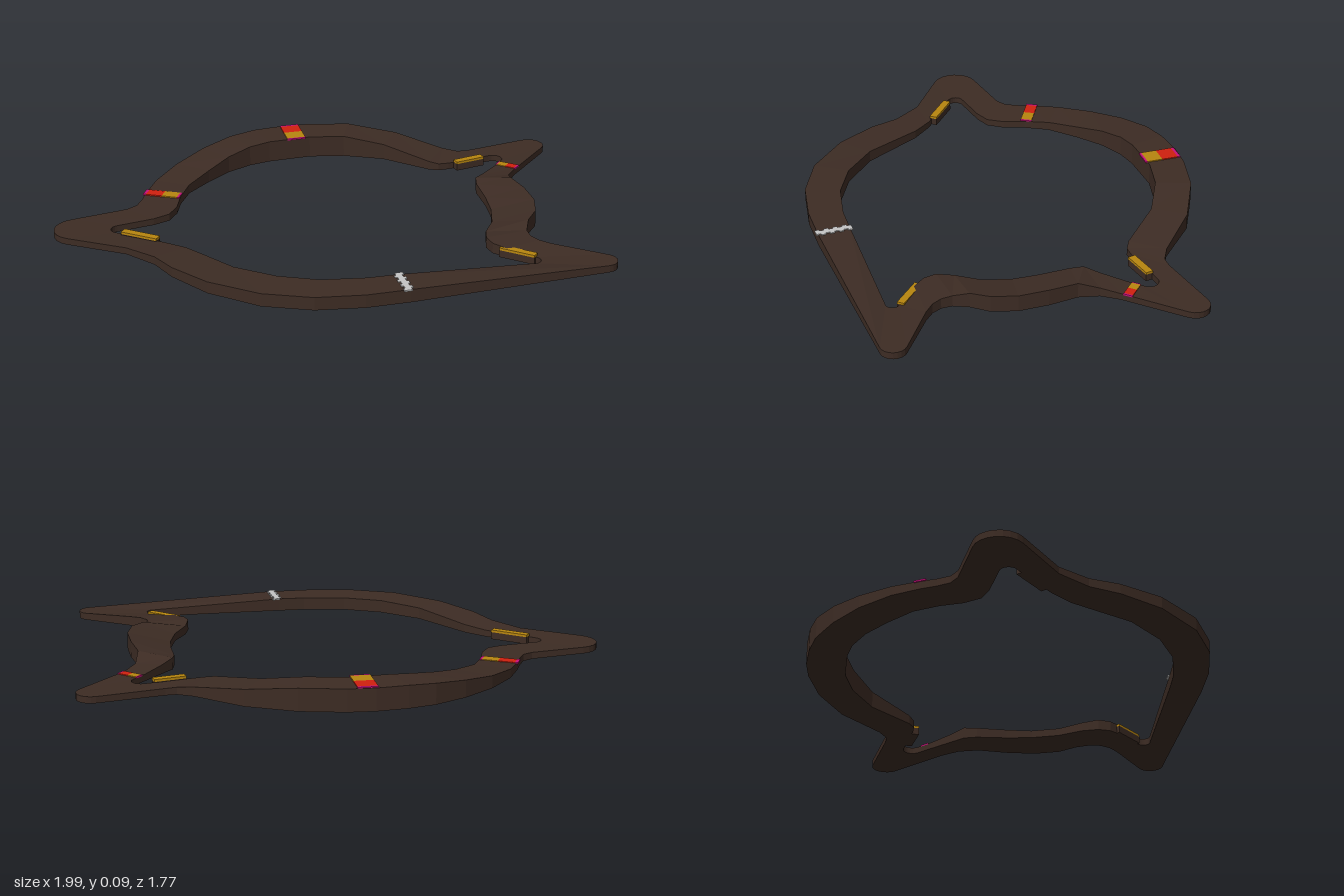
import * as THREE from 'three';

const paint = (name, color) => {
  const m = new THREE.MeshStandardMaterial({ color });
  m.name = name;
  return m;
};

// Rounded corner of the track: an outer arc paired with an inner notch arc.
function hairpin(cx, cz, r, nx, nz, nr, from, to, y) {
  const rows = [];
  for (let i = 0; i <= 8; i++) {
    const a = THREE.MathUtils.degToRad(from + (to - from) * i / 8);
    const c = Math.cos(a), s = Math.sin(a);
    rows.push([cx + r * c, cz + r * s, nx + nr * c, nz + nr * s, y]);
  }
  return rows;
}

// Stations: outer x, outer z, inner x, inner z, outer height, inner height if banked.
const chicane = [
  [0.32, -0.57, 0.235, -0.56, 0.026],
  [0.33, -0.49, 0.235, -0.45, 0.035],
  [0.37, -0.42, 0.235, -0.385, 0.06, 0.045],
  [0.46, -0.345, 0.26, -0.34, 0.065, 0.04],
  [0.54, -0.26, 0.34, -0.25, 0.065, 0.035],
  [0.585, -0.17, 0.40, -0.17, 0.065, 0.03],
  [0.59, -0.09, 0.45, -0.07, 0.06, 0.03],
  [0.61, -0.03, 0.47, 0.03, 0.045, 0.035],
  [0.64, 0.0, 0.50, 0.09, 0.042],
  [0.68, 0.015, 0.54, 0.12, 0.04],
  [0.73, 0.015, 0.60, 0.13, 0.037],
];
const frontSweep = [
  [0.45, 0.61, 0.35, 0.53, 0.05],
  [0.33, 0.72, 0.27, 0.60, 0.05],
  [0.18, 0.82, 0.13, 0.69, 0.05],
  [0.0, 0.88, -0.02, 0.735, 0.05],
  [-0.22, 0.88, -0.20, 0.735, 0.045],
  [-0.40, 0.83, -0.34, 0.69, 0.038],
  [-0.51, 0.775, -0.45, 0.655, 0.032],
  [-0.65, 0.75, -0.55, 0.645, 0.026],
];
const leftSweep = [
  [-0.84, 0.465, -0.70, 0.49, 0.026],
  [-0.825, 0.42, -0.67, 0.43, 0.027],
  [-0.835, 0.37, -0.68, 0.36, 0.028],
  [-0.855, 0.31, -0.715, 0.28, 0.03],
  [-0.88, 0.20, -0.74, 0.18, 0.035],
  [-0.88, 0.05, -0.73, 0.05, 0.048],
  [-0.85, -0.10, -0.71, -0.07, 0.066],
  [-0.80, -0.23, -0.67, -0.17, 0.08],
  [-0.74, -0.32, -0.62, -0.24, 0.086],
  [-0.66, -0.41, -0.56, -0.30, 0.086],
  [-0.58, -0.475, -0.50, -0.36, 0.086],
  [-0.43, -0.56, -0.38, -0.43, 0.086],
  [-0.24, -0.615, -0.22, -0.475, 0.064],
  [-0.02, -0.615, -0.01, -0.465, 0.035],
  [0.04, -0.63, 0.03, -0.475, 0.028],
  [0.07, -0.66, 0.06, -0.505, 0.026],
];

// Closed ribbon with flat base, top and two walls.
function ribbon(stations) {
  const pos = [];
  const quad = (a, b, c, d) => pos.push(...a, ...b, ...c, ...a, ...c, ...d);
  const corners = ([ox, oz, ix, iz, yo, yi = yo]) =>
    [[ox, yo, oz], [ix, yi, iz], [ox, 0, oz], [ix, 0, iz]];
  stations.forEach((row, k) => {
    const [O, I, o, i] = corners(row);
    const [P, J, p, j] = corners(stations[(k + 1) % stations.length]);
    quad(O, I, J, P);
    quad(o, p, j, i);
    quad(O, P, p, o);
    quad(I, i, j, J);
  });
  const g = new THREE.BufferGeometry();
  g.setAttribute('position', new THREE.Float32BufferAttribute(pos, 3));
  g.computeVertexNormals();
  return g;
}

export function createModel() {
  const model = new THREE.Group();
  model.name = 'raceTrack';
  const asphalt = paint('dark brown asphalt', 0x3d2c24);
  const red = paint('red', 0xd0200f);
  const gold = paint('gold', 0xb8860f);
  const magenta = paint('magenta', 0xc8107c);
  const white = paint('pale grey', 0xc4c4c4);

  const add = (parent, name, geo, mat) => {
    const m = new THREE.Mesh(geo, mat);
    m.name = name;
    parent.add(m);
    return m;
  };

  // Track surface
  add(model, 'track', ribbon([
    ...hairpin(0.27, -0.832, 0.058, 0.2, -0.63, 0.036, -143, 0, 0.025),
    ...chicane,
    ...hairpin(0.945, 0.035, 0.05, 0.72, 0.155, 0.026, -97, 45, 0.027),
    ...frontSweep,
    ...hairpin(-0.905, 0.695, 0.09, -0.765, 0.625, 0.032, 83, 220, 0.025),
    ...leftSweep,
  ]), asphalt);

  // Group whose local x runs across the track from (x0, z0) to (x1, z1)
  const across = (name, x0, z0, x1, z1, y) => {
    const g = new THREE.Group();
    g.name = name;
    g.position.set((x0 + x1) / 2, y, (z0 + z1) / 2);
    g.rotation.y = -Math.atan2(z1 - z0, x1 - x0);
    model.add(g);
    return [g, Math.hypot(x1 - x0, z1 - z0)];
  };

  // Painted sector bands: share of the width for each colour
  const bands = [[0, 0.08, magenta], [0.08, 0.52, red], [0.52, 0.94, gold], [0.94, 1, magenta]];
  [
    [-0.635, -0.425, -0.535, -0.315, 0.087, 0.075],
    [-0.86, 0.31, -0.718, 0.275, 0.031, 0.046],
    [0.322, -0.594, 0.235, -0.594, 0.026, 0.036],
  ].forEach(([x0, z0, x1, z1, y, depth], n) => {
    const [g, w] = across('sectorBand' + (n + 1), x0, z0, x1, z1, y);
    for (const [a, b, mat] of bands) {
      add(g, 'bandStripe', new THREE.BoxGeometry((b - a) * w, 0.006, depth), mat)
        .position.x = ((a + b) / 2 - 0.5) * w;
    }
  });

  // Start line of staggered squares
  const [line, lw] = across('startLine', 0.35, 0.52, 0.45, 0.62, 0.05);
  for (let i = 0; i < 8; i++) {
    add(line, 'startSquare', new THREE.BoxGeometry(lw / 8, 0.006, 0.03), white)
      .position.set((i + 0.5) * lw / 8 - lw / 2, 0, i % 2 ? 0.004 : -0.004);
  }

  // Gold kerbs on dark blocks inside the hairpins
  [
    [-0.733, 0.649, -0.583, 0.64, 0.03],
    [0.085, -0.515, 0.157, -0.615, 0.03],
    [0.575, 0.125, 0.715, 0.125, 0.028],
  ].forEach(([x0, z0, x1, z1, w], n) => {
    const [g, len] = across('kerb' + (n + 1), x0, z0, x1, z1, 0);
    add(g, 'kerbBlock', new THREE.BoxGeometry(len, 0.028, w), asphalt).position.y = 0.014;
    add(g, 'kerbTop', new THREE.BoxGeometry(len, 0.009, w), gold).position.y = 0.0325;
  });

  model.traverse((o) => { if (o.isMesh) o.material.flatShading = true; });
  return model;
}
